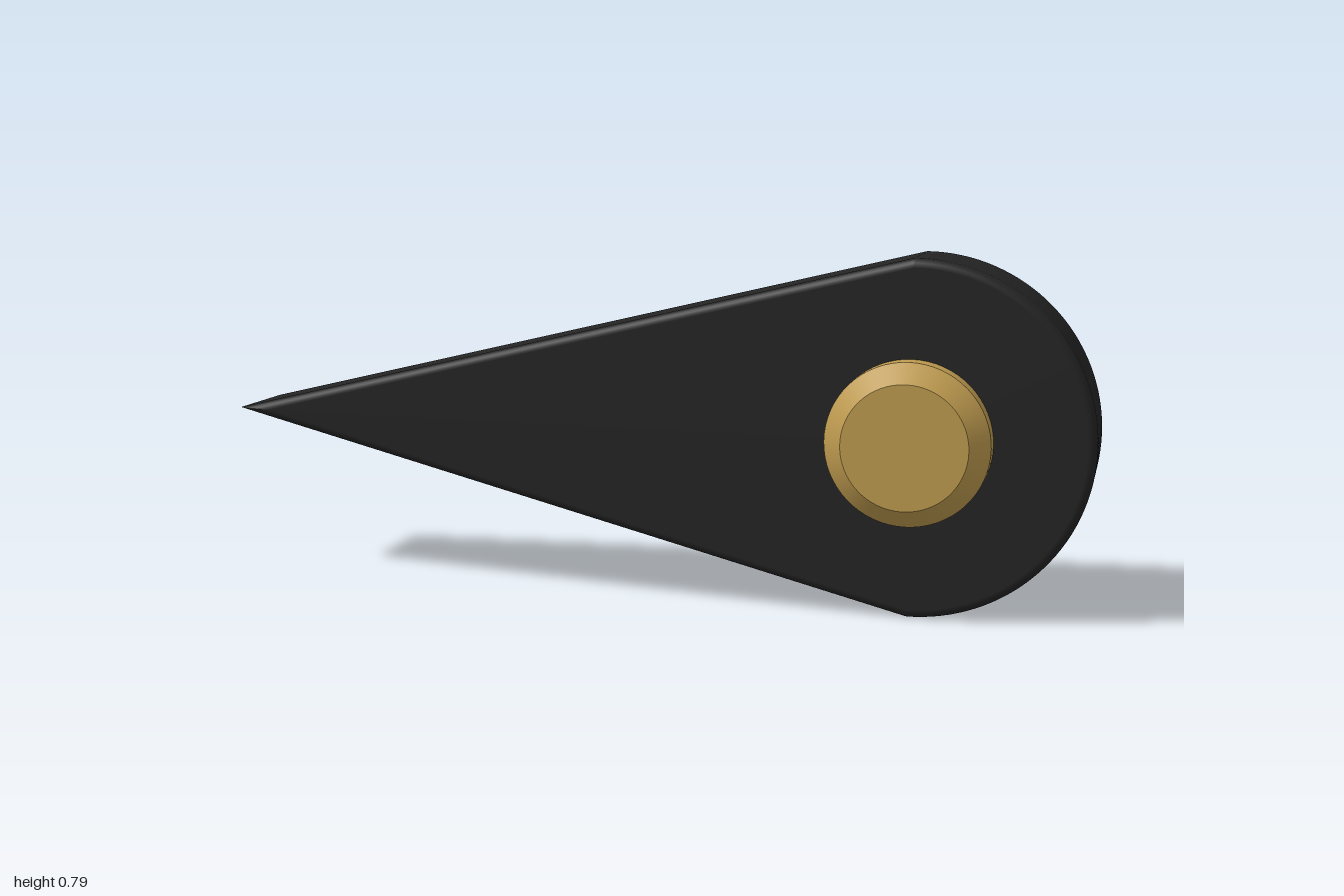
import * as THREE from 'three';

const CX = 0.607, CY = 0.393, R = 0.393, TIP = -1;
const Z_BACK = -0.162, Z_FRONT = 0.073, BEVEL = 0.02;
const SLOPE = Math.atan2(R, CX - TIP);

// Teardrop outline moved inward by d: entries are [x, y, normalX, normalY]
function outline(d) {
  const pts = [], steps = 64, r = R - d;
  for (let i = 0; i <= steps; i++) {
    const a = -Math.PI / 2 + (Math.PI * i) / steps;
    pts.push([CX + r * Math.cos(a), CY + r * Math.sin(a), Math.cos(a), Math.sin(a)]);
  }
  const tip = TIP + d / Math.sin(SLOPE), s = Math.sin(SLOPE), c = Math.cos(SLOPE);
  pts.push([CX, CY + r, -s, c], [tip, CY, -s, c], [tip, CY, -s, -c], [CX, CY - r, -s, -c]);
  return pts;
}

// Solid with rounded rims, lofted from back to front through inset outlines
function bodyGeometry() {
  const pos = [], nor = [], idx = [], rings = [], seg = 6;
  for (let i = 0; i <= seg; i++) rings.push([-1, Math.PI / 2 * (1 - i / seg)]);
  for (let i = 0; i <= seg; i++) rings.push([1, Math.PI / 2 * (i / seg)]);
  let n = 0;
  for (const [side, t] of rings) {
    const pts = outline(BEVEL * (1 - Math.cos(t)));
    const edge = side < 0 ? Z_BACK + BEVEL : Z_FRONT - BEVEL;
    const z = edge + side * BEVEL * Math.sin(t);
    n = pts.length;
    for (const [x, y, nx, ny] of pts) {
      pos.push(x, y, z);
      nor.push(nx * Math.cos(t), ny * Math.cos(t), side * Math.sin(t));
    }
  }
  for (let k = 0; k < rings.length - 1; k++) {
    for (let i = 0; i < n; i++) {
      const a = k * n + i, b = k * n + (i + 1) % n;
      idx.push(a, b, b + n, a, b + n, a + n);
    }
  }
  // Flat back and front
  const last = (rings.length - 1) * n;
  for (const [start, side] of [[0, -1], [last, 1]]) {
    const centre = pos.length / 3;
    pos.push(CX, CY, side < 0 ? Z_BACK : Z_FRONT);
    nor.push(0, 0, side);
    for (let i = 0; i < n; i++) {
      const a = start + i, b = start + (i + 1) % n;
      if (side > 0) idx.push(centre, a, b);
      else idx.push(centre, b, a);
    }
  }
  const g = new THREE.BufferGeometry();
  g.setAttribute('position', new THREE.Float32BufferAttribute(pos, 3));
  g.setAttribute('normal', new THREE.Float32BufferAttribute(nor, 3));
  g.setIndex(idx);
  return g;
}

// Round section along z from z0 to z1
function disc(name, r0, r1, z0, z1, open, material) {
  const g = new THREE.CylinderGeometry(r1, r0, z1 - z0, 64, 1, open);
  g.rotateX(Math.PI / 2);
  const mesh = new THREE.Mesh(g, material);
  mesh.name = name;
  mesh.position.set(CX, CY, (z0 + z1) / 2);
  return mesh;
}

export function createModel() {
  const black = new THREE.MeshStandardMaterial({ color: 0x242424 });
  black.name = 'black';
  const brass = new THREE.MeshStandardMaterial({ color: 0xc09c50 });
  brass.name = 'brass';

  const model = new THREE.Group();
  model.name = 'pointer';

  const body = new THREE.Mesh(bodyGeometry(), black);
  body.name = 'teardropBody';
  model.add(body);

  // Brass stud with a chamfered rim
  const stud = new THREE.Group();
  stud.name = 'stud';
  stud.add(
    disc('studBase', 0.178, 0.178, 0.06, 0.121, true, brass),
    disc('studCap', 0.178, 0.136, 0.121, 0.162, false, brass)
  );
  model.add(stud);
  return model;
}
